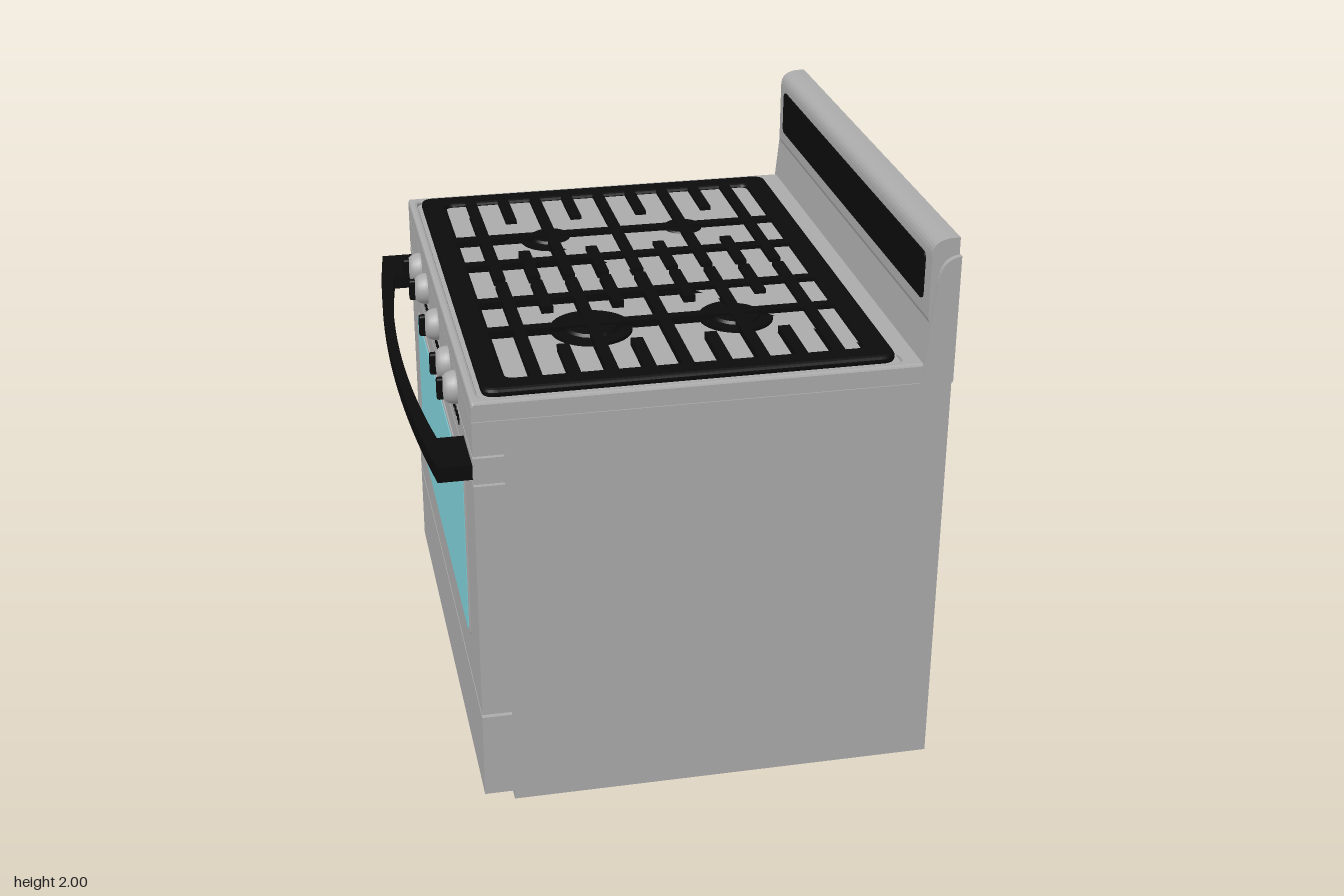
import * as THREE from 'three';
import { RoundedBoxGeometry } from 'three/addons/geometries/RoundedBoxGeometry.js';

const mat = (name, color) => Object.assign(new THREE.MeshStandardMaterial({ color }), { name });

export function createModel() {
  const steel = mat('steel grey', 0xaaaaaa);
  const black = mat('enamel black', 0x0b0b0b);
  const glass = mat('window glass', 0x7fcfd8);
  const root = new THREE.Group();
  root.name = 'gasRange';

  const add = (name, geo, material, parent = root) => {
    const m = new THREE.Mesh(geo, material);
    m.name = name;
    parent.add(m);
    return m;
  };
  const group = (name) => {
    const g = new THREE.Group();
    g.name = name;
    root.add(g);
    return g;
  };
  // box given by its limits on each axis
  const box = (name, [x0, x1], [y0, y1], [z0, z1], material, parent) => {
    const g = new THREE.BoxGeometry(x1 - x0, y1 - y0, z1 - z0);
    g.translate((x0 + x1) / 2, (y0 + y1) / 2, (z0 + z1) / 2);
    return add(name, g, material, parent);
  };
  // rounded rectangle, centred on (cx, cy)
  const roundRect = (target, cx, cy, w, h, r) => {
    const a = cx - w / 2, b = cx + w / 2, c = cy - h / 2, d = cy + h / 2;
    target.moveTo(a + r, c).lineTo(b - r, c).quadraticCurveTo(b, c, b, c + r)
      .lineTo(b, d - r).quadraticCurveTo(b, d, b - r, d)
      .lineTo(a + r, d).quadraticCurveTo(a, d, a, d - r)
      .lineTo(a, c + r).quadraticCurveTo(a, c, a + r, c);
    return target;
  };
  // plan shape (x, -z) raised from height y
  const raise = (shape, y, depth, bevel) => {
    const g = new THREE.ExtrudeGeometry(shape, { depth, curveSegments: 10, bevelEnabled: false, ...bevel });
    return g.rotateX(-Math.PI / 2).translate(0, y, 0);
  };
  // side profile (x, y) swept along z
  const sweep = (shape, z0, z1) => {
    const g = new THREE.ExtrudeGeometry(shape, { depth: z1 - z0, curveSegments: 8, bevelEnabled: false });
    return g.translate(0, 0, z0);
  };
  // thin plate facing the front of the range (-x)
  const plate = (name, x, y0, y1, halfZ, r, material) => {
    const s = roundRect(new THREE.Shape(), 0, (y0 + y1) / 2, halfZ * 2, y1 - y0, r);
    const g = new THREE.ExtrudeGeometry(s, { depth: 0.006, bevelEnabled: false });
    return add(name, g.rotateY(-Math.PI / 2).translate(x, 0, 0), material);
  };

  // cabinet and front panels
  const W = [-0.955, 0.955], F = [-0.725, -0.62];
  box('cabinet', [-0.62, 0.893], [0, 1.49], W, steel);
  box('drawer', F, [0.035, 0.355], W, steel);
  box('ovenDoor', F, [0.367, 1.257], W, steel);
  box('ventStrip', F, [1.265, 1.36], W, steel);
  box('controlPanel', F, [1.368, 1.49], W, steel);
  plate('windowTrim', -0.724, 0.54, 1.175, 0.715, 0.02, steel);
  plate('ovenWindow', -0.727, 0.555, 1.16, 0.7, 0.015, glass);

  // vent slots
  const vents = group('ventSlots');
  for (let i = 0; i < 36; i++) {
    const z = -0.6 + i * (1.2 / 35);
    box('ventSlot', [-0.728, -0.724], [1.315, 1.35], [z - 0.006, z + 0.006], black, vents);
  }

  // bowed door handle with mounting blocks
  const handle = new THREE.Shape();
  handle.moveTo(-0.72, -0.94).lineTo(-0.84, -0.94)
    .quadraticCurveTo(-0.96, 0, -0.84, 0.94)
    .lineTo(-0.72, 0.94).lineTo(-0.72, 0.72).lineTo(-0.815, 0.72)
    .quadraticCurveTo(-0.915, 0, -0.815, -0.72)
    .lineTo(-0.72, -0.72).closePath();
  add('doorHandle', raise(handle, 1.277, 0.053, { curveSegments: 24 }), black);

  // knobs with a black grip
  const knobProfile = [[0.058, 0], [0.058, 0.012], [0.052, 0.03], [0.04, 0.045], [0, 0.048]]
    .map(([r, h]) => new THREE.Vector2(r, h));
  const knobGeo = new THREE.LatheGeometry(knobProfile, 28).rotateZ(Math.PI / 2);
  const gripGeo = new RoundedBoxGeometry(0.03, 0.08, 0.028, 2, 0.008);
  for (const z of [-0.55, -0.34, 0, 0.335, 0.54]) {
    const k = group('knob');
    add('knobBase', knobGeo, steel, k);
    add('knobGrip', gripGeo, black, k).position.x = -0.052;
    k.position.set(-0.725, 1.427, z);
  }

  // cooktop: chamfered slab with a raised rim
  const slab = new THREE.Shape();
  slab.moveTo(-0.725, 1.492).lineTo(0.8, 1.492).lineTo(0.8, 1.545).lineTo(-0.725, 1.545).closePath();
  add('cooktop', sweep(slab, -0.955, 0.955), steel);
  const rim = roundRect(new THREE.Shape(), 0.037, 0, 1.524, 1.91, 0.012);
  rim.holes.push(roundRect(new THREE.Path(), 0.02, 0, 1.43, 1.86, 0.05));
  add('cooktopRim', raise(rim, 1.545, 0.007, {
    bevelEnabled: true, bevelThickness: 0.009, bevelSize: 0.01, bevelOffset: -0.01, bevelSegments: 2,
  }), steel);

  // grate frame
  const grate = group('grate');
  const frame = roundRect(new THREE.Shape(), 0.02, 0.005, 1.4, 1.81, 0.05);
  frame.holes.push(roundRect(new THREE.Path(), 0.02, 0.005, 1.22, 1.63, 0.03));
  add('grateFrame', raise(frame, 1.556, 0.008, {
    bevelEnabled: true, bevelThickness: 0.012, bevelSize: 0.012, bevelOffset: -0.012, bevelSegments: 2,
  }), black, grate);

  // grate bars, front to back and side to side
  const Y = [1.55, 1.576], h = 0.021;
  for (const z of [-0.435, -0.18, 0.17, 0.425])
    box('crossBar', [-0.61, 0.65], Y, [z - h, z + h], black, grate);
  for (const x of [-0.49, -0.235, 0.02, 0.28, 0.54])
    for (const [z0, z1] of [[-0.84, -0.02], [0.015, 0.83]])
      box('longBar', [x - h, x + h], Y, [z0, z1], black, grate);
  for (const x of [-0.362, -0.108, 0.15, 0.41])
    for (const [z0, z1] of [[-0.84, -0.595], [-0.275, -0.02], [0.015, 0.265], [0.585, 0.83]])
      box('finger', [x - h, x + h], Y, [z0, z1], black, grate);

  // burners
  for (const [x, z, r] of [[-0.235, -0.435, 0.113], [0.28, -0.435, 0.113], [-0.235, 0.425, 0.143], [0.28, 0.425, 0.13]]) {
    const b = group('burner');
    add('burnerBase', new THREE.CylinderGeometry(r, r, 0.012, 36), black, b);
    add('burnerCap', new THREE.CylinderGeometry(r * 0.62, r * 0.68, 0.012, 36), black, b).position.y = 0.01;
    b.position.set(x, 1.552, z);
  }

  // backguard: wide end caps with a taller panel between
  const cap = new THREE.Shape();
  cap.moveTo(0.895, 1.49).lineTo(0.895, 1.942)
    .bezierCurveTo(0.84, 1.935, 0.826, 1.9, 0.82, 1.85)
    .lineTo(0.805, 1.7).lineTo(0.785, 1.49).closePath();
  add('backguardBody', sweep(cap, -0.965, 0.965), steel);
  const panel = new THREE.Shape();
  panel.moveTo(0.893, 1.6).lineTo(0.893, 2).lineTo(0.86, 2)
    .bezierCurveTo(0.825, 1.995, 0.8, 1.985, 0.8, 1.94)
    .lineTo(0.8, 1.72).lineTo(0.81, 1.69).lineTo(0.84, 1.6).closePath();
  add('backguardPanel', sweep(panel, -0.945, 0.945), steel);
  plate('displayPanel', 0.801, 1.765, 1.93, 0.885, 0.025, black);

  return root;
}
